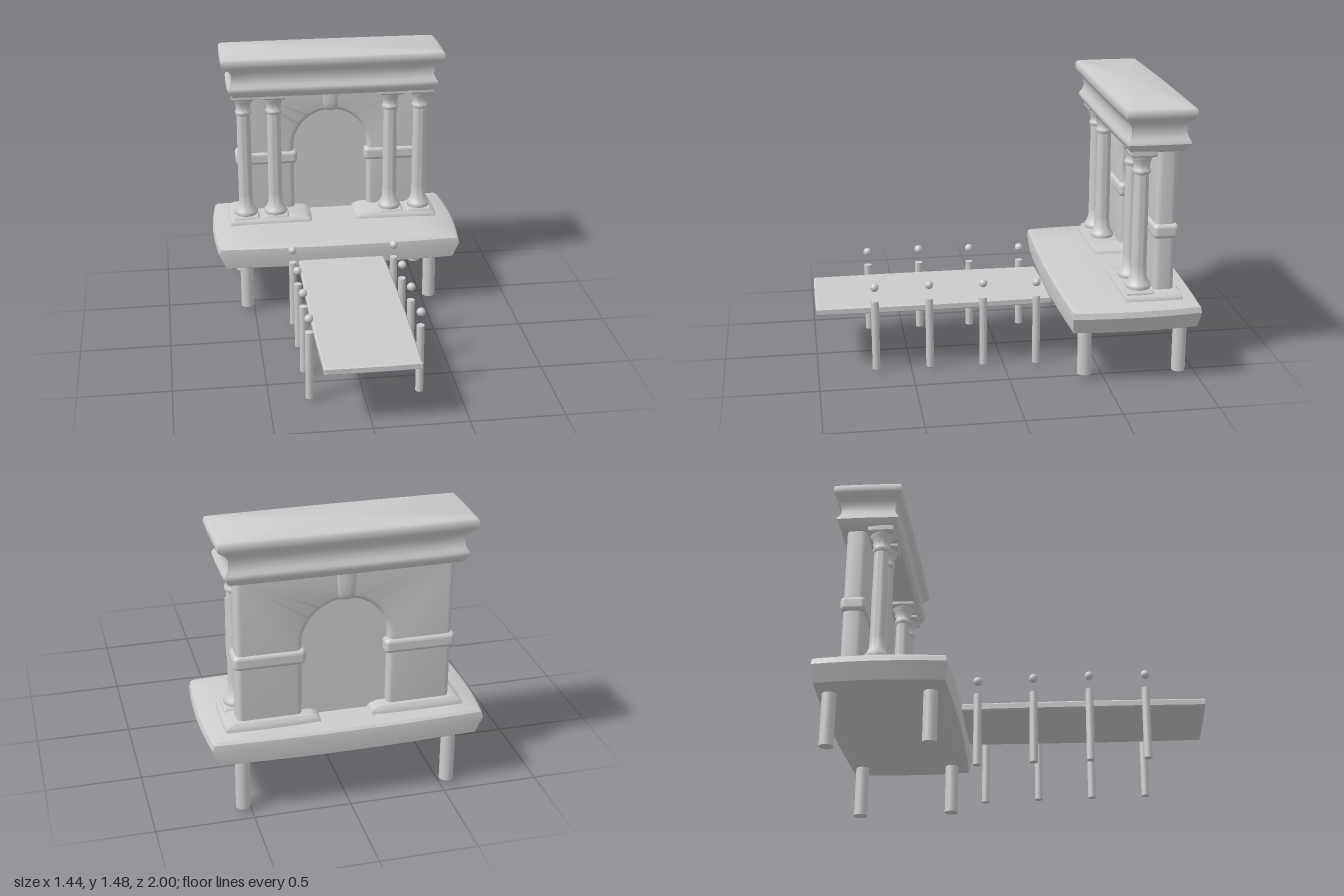
import * as THREE from 'three';
import { toCreasedNormals } from 'three/addons/utils/BufferGeometryUtils.js';
import { RoundedBoxGeometry } from 'three/addons/geometries/RoundedBoxGeometry.js';

const material = new THREE.MeshStandardMaterial({ color: 0xcccccc, roughness: 0.8 });

// Stacks softly bowed rectangles [y, halfX, halfZ] into a capped solid.
function loft(rings, bowX, bowZ, crease = 0.6, n = 8) {
  const pos = [], index = [], count = 4 * n;
  for (const [y, hx, hz] of rings) {
    for (let side = 0; side < 4; side++) {
      for (let i = 0; i < n; i++) {
        const s = -1 + (2 * i) / n;
        const x = hx - bowX, z = hz - bowZ;
        const dx = bowX * (1 - s * s), dz = bowZ * (1 - s * s);
        const p = [[s * x, z + dz], [x + dx, -s * z], [-s * x, -z - dz], [-x - dx, s * z]][side];
        pos.push(p[0], y, p[1]);
      }
    }
  }
  const last = (rings.length - 1) * count, centre = rings.length * count;
  pos.push(0, rings[0][0], 0, 0, rings[rings.length - 1][0], 0);
  for (let i = 0; i < count; i++) {
    const j = (i + 1) % count;
    for (let r = 0; r < last; r += count) {
      index.push(r + i, r + j, r + count + j, r + i, r + count + j, r + count + i);
    }
    index.push(centre, j, i, centre + 1, last + i, last + j);
  }
  const g = new THREE.BufferGeometry();
  g.setAttribute('position', new THREE.Float32BufferAttribute(pos, 3));
  g.setIndex(index);
  return toCreasedNormals(g, crease);
}

function add(parent, name, geometry, x = 0, y = 0, z = 0) {
  const mesh = new THREE.Mesh(geometry, material);
  mesh.name = name;
  mesh.position.set(x, y, z);
  parent.add(mesh);
  return mesh;
}

// Outline of the doorway, from the right foot over the arch to the left foot.
function traceArch(shape, half, bottom, spring) {
  shape.lineTo(half, bottom);
  shape.lineTo(half, spring);
  shape.absarc(0, spring, half, 0, Math.PI, false);
  shape.lineTo(-half, bottom);
}

function createColumn() {
  const column = new THREE.Group();
  column.name = 'column';
  add(column, 'plinth', loft([[0.465, 0.079, 0.077], [0.485, 0.077, 0.075], [0.495, 0.068, 0.068]], 0.003, 0.003));
  const profile = [
    [0, 0.49], [0.062, 0.49], [0.067, 0.505], [0.064, 0.52], [0.053, 0.53], [0.05, 0.545],
    [0.043, 0.555], [0.041, 0.62], [0.041, 0.85], [0.039, 1.115], [0.046, 1.12], [0.048, 1.13],
    [0.046, 1.14], [0.041, 1.146], [0.043, 1.17], [0.05, 1.195], [0.063, 1.215], [0.063, 1.225], [0, 1.225],
  ].map(([r, y]) => new THREE.Vector2(r, y));
  add(column, 'shaft', toCreasedNormals(new THREE.LatheGeometry(profile, 28), 0.9));
  add(column, 'abacus', loft([[1.215, 0.062, 0.062], [1.225, 0.07, 0.07], [1.255, 0.07, 0.07]], 0.003, 0.003));
  return column;
}

export function createModel() {
  const model = new THREE.Group();
  model.name = 'archwayWithWalkway';

  // Walkway plank with slightly bowed edges
  add(model, 'walkway', loft([
    [0.32, 0.247, 0.627], [0.326, 0.255, 0.635], [0.353, 0.255, 0.635], [0.36, 0.247, 0.627],
  ], 0.008, 0.003), 0, 0, 0.365);

  // Walkway posts, each with a ball hovering above it
  const posts = [[0.69, 0.02, 0.405, 0.482], [0.4, 0.015, 0.405, 0.482], [0.11, 0.01, 0.395, 0.475], [-0.18, 0, 0.39, 0.465]];
  for (const [z, bottom, top, ball] of posts) {
    for (const x of [-0.29, 0.29]) {
      add(model, 'walkwayPost', new THREE.CylinderGeometry(0.021, 0.021, top - bottom, 20), x, (top + bottom) / 2, z);
      add(model, 'postBall', new THREE.SphereGeometry(0.023, 20, 14), x, ball, z);
    }
  }

  // Platform and its legs
  add(model, 'platform', loft([
    [0.303, 0.65, 0.335], [0.312, 0.685, 0.35], [0.4, 0.72, 0.36],
    [0.43, 0.712, 0.356], [0.442, 0.695, 0.345], [0.455, 0.5, 0.17],
  ], 0.022, 0.02), 0, 0, -0.64);
  for (const x of [-0.54, 0.54]) {
    for (const [z, bottom] of [[-0.395, 0.03], [-0.91, 0.02]]) {
      add(model, 'platformLeg', new THREE.CylinderGeometry(0.037, 0.037, 0.32 - bottom, 24), x, (0.32 + bottom) / 2, z);
    }
  }

  // Arched wall with softly rounded edges
  const wall = new THREE.Shape();
  wall.moveTo(0.55, 1.26);
  wall.lineTo(-0.55, 1.26);
  wall.lineTo(-0.55, 0.46);
  wall.lineTo(-0.22, 0.46);
  wall.lineTo(-0.22, 0.87);
  wall.absarc(0, 0.87, 0.22, Math.PI, 0, true);
  wall.lineTo(0.22, 0.46);
  wall.lineTo(0.55, 0.46);
  wall.closePath();
  const bevel = 0.028;
  const wallGeometry = new THREE.ExtrudeGeometry(wall, {
    depth: 0.108 - 2 * bevel, bevelThickness: bevel, bevelSize: bevel, bevelOffset: -bevel, bevelSegments: 4, curveSegments: 32,
  });
  add(model, 'archWall', toCreasedNormals(wallGeometry, 0.6), 0, 0, -0.866 + bevel);

  // Thin panel filling the doorway
  const door = new THREE.Shape();
  door.moveTo(-0.23, 0.45);
  traceArch(door, 0.23, 0.45, 0.87);
  door.closePath();
  add(model, 'doorPanel', new THREE.ExtrudeGeometry(door, { depth: 0.02, bevelEnabled: false, curveSegments: 32 }), 0, 0, -0.823);

  add(model, 'keystone', loft([
    [1.092, 0.034, 0.058], [1.1, 0.043, 0.07], [1.13, 0.047, 0.076], [1.19, 0.051, 0.077], [1.25, 0.052, 0.077],
  ], 0.008, 0.008, 0.9), 0, 0, -0.811);

  // Base slab, impost band and column pair on each side
  for (const side of [-1, 1]) {
    const half = new THREE.Group();
    half.name = side > 0 ? 'leftSupport' : 'rightSupport';
    add(half, 'baseSlab', loft([
      [0.43, 0.247, 0.16], [0.458, 0.245, 0.158], [0.472, 0.235, 0.152], [0.485, 0.2, 0.142],
    ], 0.006, 0.006), side * 0.373, 0, -0.748);
    add(half, 'impostBand', new RoundedBoxGeometry(0.365, 0.08, 0.134, 4, 0.024), side * 0.384, 0.806, -0.812);
    for (const x of [0.342, 0.518]) {
      const column = createColumn();
      column.position.set(side * x, 0, -0.68);
      half.add(column);
    }
    model.add(half);
  }

  // Moulded entablature
  add(model, 'entablature', loft([
    [1.24, 0.575, 0.145], [1.247, 0.587, 0.152], [1.27, 0.602, 0.165], [1.285, 0.611, 0.171], [1.298, 0.608, 0.168],
    [1.315, 0.594, 0.157], [1.34, 0.588, 0.15], [1.375, 0.589, 0.152], [1.395, 0.6, 0.162], [1.415, 0.622, 0.177],
    [1.43, 0.64, 0.186], [1.445, 0.645, 0.188], [1.465, 0.643, 0.187], [1.475, 0.635, 0.18], [1.481, 0.62, 0.166],
  ], 0.004, 0.006, 0.7), 0, 0, -0.75);

  return model;
}
